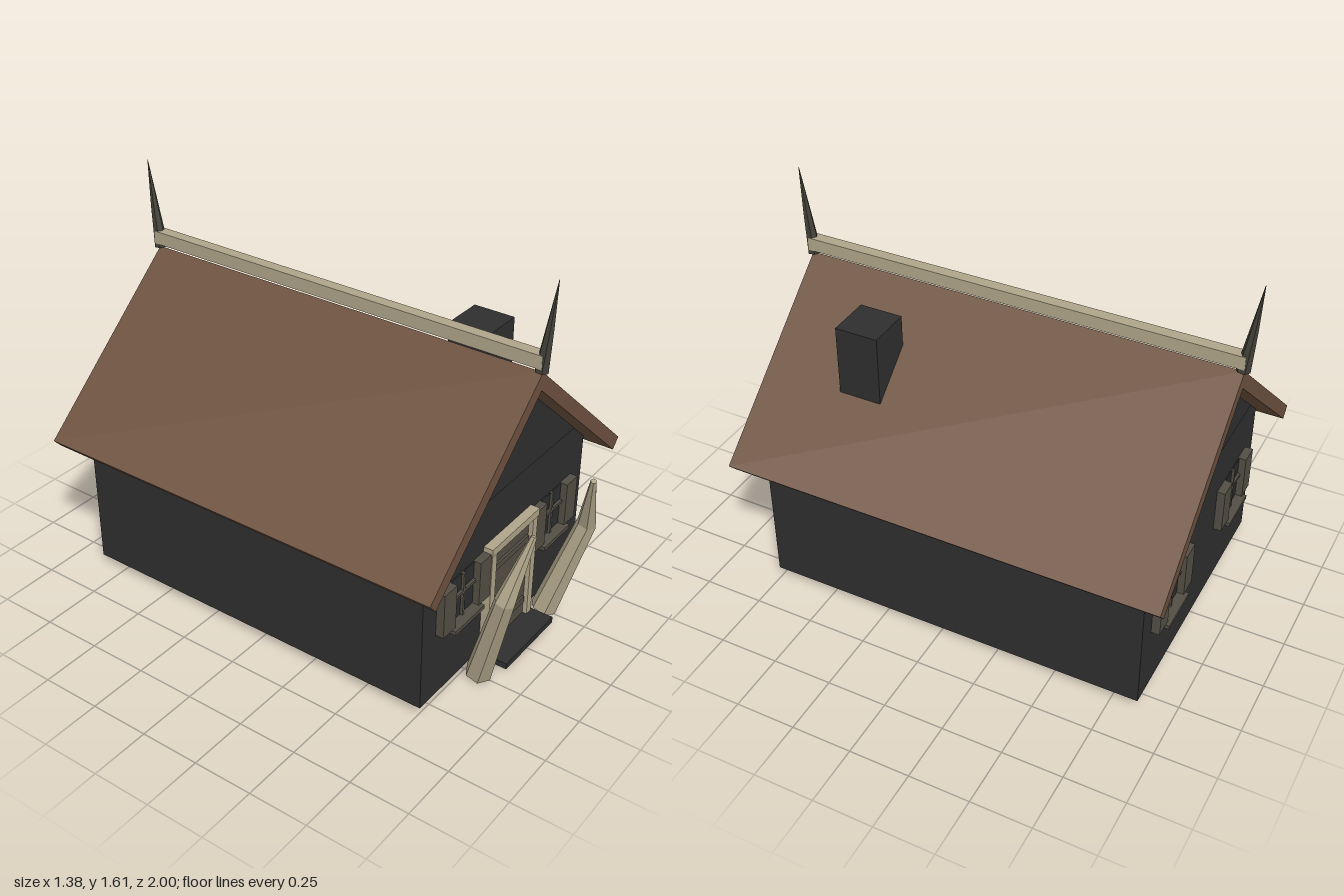
import * as THREE from 'three';

const mat = (name, color) => {
  const m = new THREE.MeshStandardMaterial({ color });
  m.name = name;
  return m;
};

export function createModel() {
  const wall = mat('charcoal wall', 0x2f2f2f);
  const glass = mat('dark glass', 0x2b2d2f);
  const roofBrown = mat('roof brown', 0x6e523f);
  const bone = mat('bone', 0xb0a58a);
  const weathered = mat('weathered wood', 0x544f45);
  const horn = mat('dark horn', 0x424038);
  for (const m of [bone, horn]) m.flatShading = true;

  const house = new THREE.Group();
  house.name = 'house';

  const add = (parent, name, geometry, material) => {
    const mesh = new THREE.Mesh(geometry, material);
    mesh.name = name;
    parent.add(mesh);
    return mesh;
  };
  // Box given by its limits on each axis
  const box = (parent, name, material, x0, x1, y0, y1, z0, z1) => {
    const mesh = add(parent, name, new THREE.BoxGeometry(x1 - x0, y1 - y0, z1 - z0), material);
    mesh.position.set((x0 + x1) / 2, (y0 + y1) / 2, (z0 + z1) / 2);
    return mesh;
  };
  // Outline in x and y, extruded from z0 to z1
  const prism = (name, material, outline, z0, z1) => {
    const shape = new THREE.Shape(outline.map(([x, y]) => new THREE.Vector2(x, y)));
    const geometry = new THREE.ExtrudeGeometry(shape, { depth: z1 - z0, bevelEnabled: false });
    return add(house, name, geometry.translate(0, 0, z0), material);
  };
  // Faceted, tapering rod: bends a cylinder so its rings follow the given points
  const taperedRod = (name, material, points, radii, sides = 6) => {
    const path = points.map((p) => new THREE.Vector3(...p));
    const n = path.length - 1;
    const geometry = new THREE.CylinderGeometry(1, 1, 1, sides, n);
    const pos = geometry.attributes.position;
    const xAxis = new THREE.Vector3(1, 0, 0);
    for (let i = 0; i < pos.count; i++) {
      const k = Math.round((pos.getY(i) + 0.5) * n);
      const along = path[Math.min(k + 1, n)].clone().sub(path[Math.max(k - 1, 0)]).normalize();
      const w = xAxis.clone().cross(along).normalize();
      const u = along.clone().cross(w);
      const p = path[k].clone()
        .addScaledVector(u, pos.getX(i) * radii[k])
        .addScaledVector(w, pos.getZ(i) * radii[k]);
      pos.setXYZ(i, p.x, p.y, p.z);
    }
    geometry.computeVertexNormals();
    return add(house, name, geometry, material);
  };

  // Walls, with gables standing slightly proud at both ends
  prism('walls', wall, [[-0.577, 0.045], [0.577, 0.045], [0.577, 0.66], [0.485, 0.74], [-0.485, 0.74], [-0.577, 0.66]], -0.86, 0.76);
  prism('gables', wall, [[-0.487, 0.742], [0.487, 0.742], [0, 1.17]], -0.865, 0.764);

  // Roof, chimney and ridge
  prism('roof', roofBrown, [[0, 1.24], [-0.69, 0.632], [-0.652, 0.59], [0, 1.165], [0.652, 0.59], [0.69, 0.632]], -0.96, 0.86);
  box(house, 'chimney', wall, 0.195, 0.38, 0.88, 1.2, 0.34, 0.52);
  box(house, 'ridgeBeam', bone, -0.024, 0.024, 1.26, 1.315, -0.965, 0.865);
  taperedRod('frontHorn', horn, [[0, 1.243, 0.853], [0, 1.42, 0.874], [0, 1.61, 0.895]], [0.028, 0.016, 0.001]);
  taperedRod('backHorn', horn, [[0, 1.243, -0.953], [0, 1.42, -0.976], [0, 1.61, -0.998]], [0.028, 0.016, 0.001]);

  // Tusks beside the door
  for (const s of [-1, 1]) {
    taperedRod(s > 0 ? 'leftTusk' : 'rightTusk', bone,
      [[s * 0.25, 0.02, 0.812], [s * 0.31, 0.455, 0.938], [s * 0.222, 0.715, 0.99]], [0.054, 0.041, 0.012]);
  }

  // Door with frame, cleats and step
  const door = new THREE.Group();
  door.name = 'door';
  house.add(door);
  box(door, 'doorPanel', weathered, -0.136, 0.136, 0.05, 0.512, 0.75, 0.778);
  for (const y of [0.128, 0.425]) box(door, 'doorCleat', weathered, -0.122, 0.122, y - 0.013, y + 0.013, 0.77, 0.788);
  for (const s of [-1, 1]) box(door, 'doorJamb', bone, s * 0.151 - 0.017, s * 0.151 + 0.017, 0.05, 0.512, 0.75, 0.797);
  box(door, 'lintel', bone, -0.173, 0.173, 0.51, 0.543, 0.75, 0.8);
  box(door, 'doorStep', wall, -0.178, 0.178, 0.024, 0.05, 0.74, 0.892);

  // Shuttered window, built facing +z around its own wall point
  const addWindow = (x, z, turn) => {
    const g = new THREE.Group();
    g.name = 'window';
    g.position.set(x, 0.425, z);
    g.rotation.y = turn;
    house.add(g);
    box(g, 'pane', glass, -0.08, 0.08, -0.095, 0.095, -0.004, 0.005);
    box(g, 'mullion', weathered, -0.006, 0.006, -0.095, 0.095, 0, 0.016);
    box(g, 'glazingBar', weathered, -0.08, 0.08, 0.008, 0.02, 0, 0.016);
    for (const s of [-1, 1]) box(g, 'shutter', weathered, s * 0.121 - 0.041, s * 0.121 + 0.041, -0.095, 0.097, -0.005, 0.034);
    box(g, 'sill', weathered, -0.1, 0.1, -0.115, -0.098, -0.005, 0.048);
  };
  for (const s of [-1, 1]) {
    addWindow(s * 0.325, 0.76, 0);
    addWindow(s * 0.325, -0.86, Math.PI);
  }

  return house;
}
